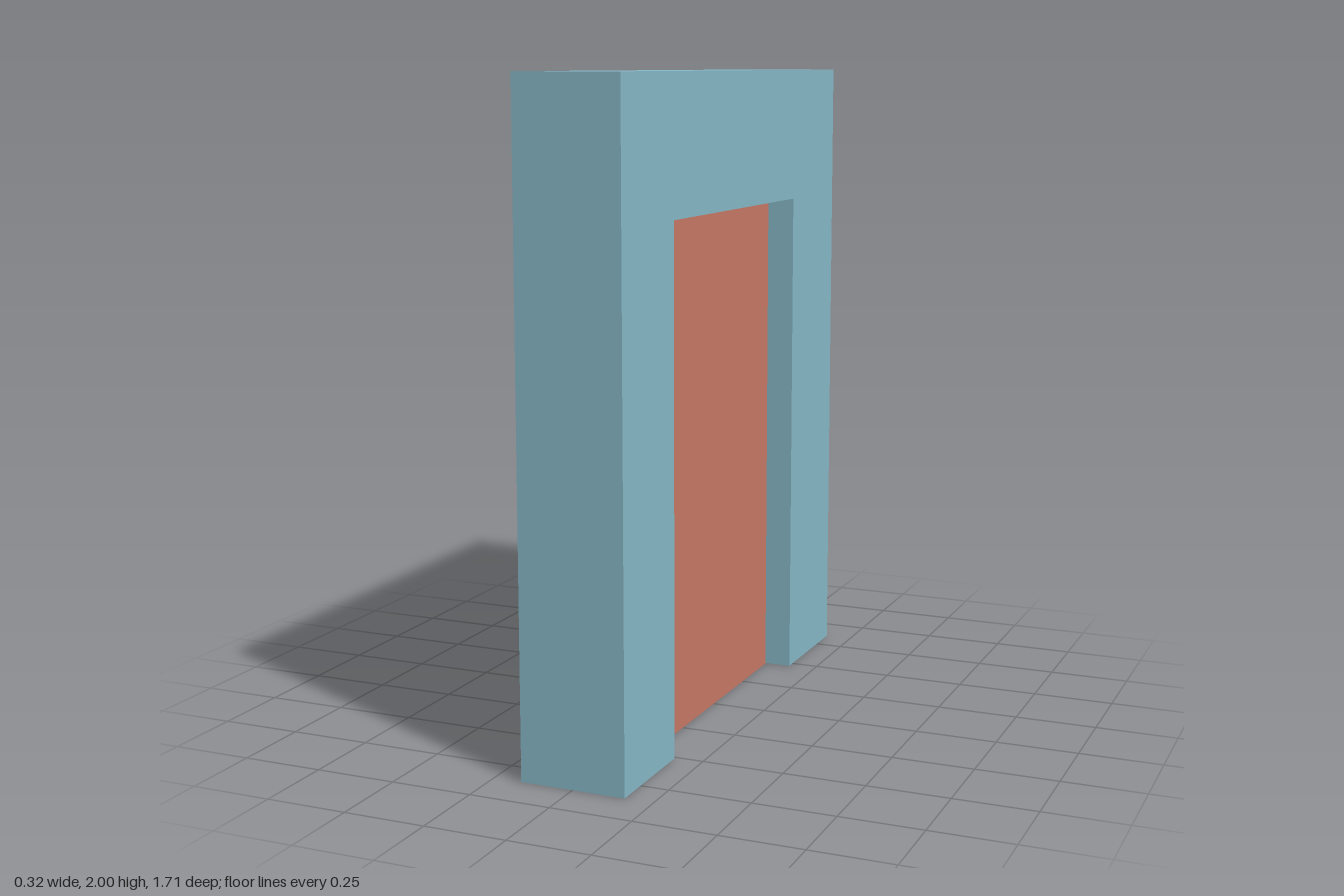
import * as THREE from 'three';

const DEPTH = 0.325; // wall thickness along x

// Extrudes an outline drawn in (z, y) along x, centred on x = 0
function slab(name, points, thickness, color) {
  // shape x is -z, so that rotating by +90 degrees about y maps it back to z
  const shape = new THREE.Shape(points.map(([z, y]) => new THREE.Vector2(-z, y)));
  const geometry = new THREE.ExtrudeGeometry(shape, { depth: thickness, bevelEnabled: false });
  geometry.translate(0, 0, -thickness / 2);
  geometry.rotateY(Math.PI / 2);
  const mesh = new THREE.Mesh(geometry, new THREE.MeshStandardMaterial({ color }));
  mesh.name = name;
  return mesh;
}

export function createModel() {
  const group = new THREE.Group();
  group.name = 'doorway';

  // Wall frame: two posts and a lintel around the opening
  group.add(slab('frame', [
    [0.857, 0], [0.857, 2], [-0.857, 2], [-0.857, 0],
    [-0.47, 0], [-0.47, 1.585], [0.508, 1.585], [0.508, 0],
  ], DEPTH, 0x88bbca));

  // Door panel, recessed on both sides, with a thin gap at the top and one edge
  group.add(slab('door', [
    [0.508, 0], [0.508, 1.578], [-0.463, 1.578], [-0.463, 0],
  ], 0.156, 0xca7b67));

  return group;
}
